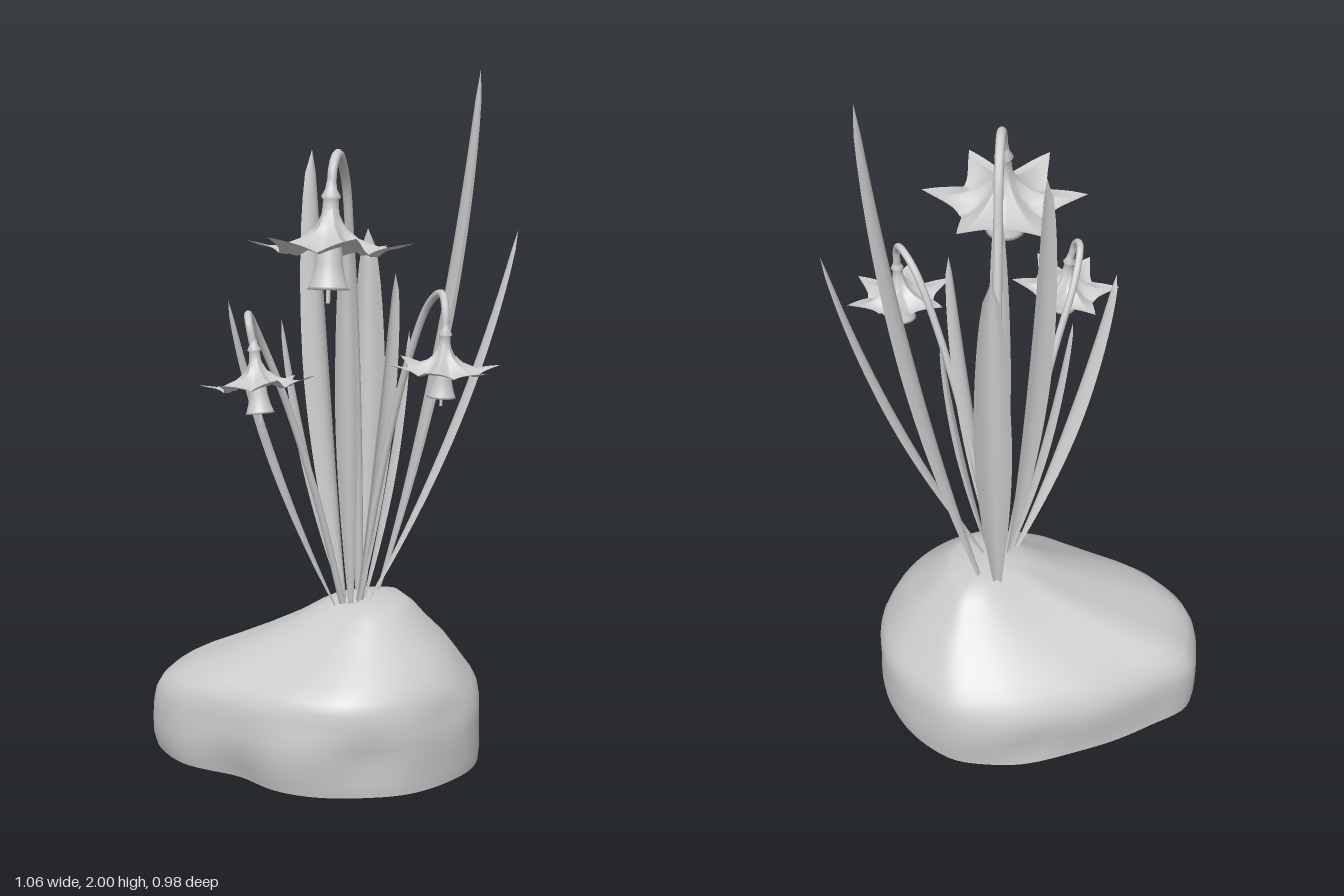
import * as THREE from 'three';

const solid = new THREE.MeshStandardMaterial({ color: 0xcccccc });
const thin = new THREE.MeshStandardMaterial({ color: 0xcccccc, side: THREE.DoubleSide });
const V = (x, y, z) => new THREE.Vector3(x, y, z);

// Surface through rows of points; closed joins the last column to the first
function skin(rows, closed) {
  const n = rows[0].length, index = [];
  for (let i = 0; i < rows.length - 1; i++) {
    for (let j = 0; j < (closed ? n : n - 1); j++) {
      const a = i * n + j, b = i * n + (j + 1) % n;
      index.push(a, a + n, b, a + n, b + n, b);
    }
  }
  const g = new THREE.BufferGeometry().setFromPoints(rows.flat());
  g.setIndex(index);
  g.computeVertexNormals();
  return g;
}

function add(parent, name, geometry, material = solid) {
  const mesh = new THREE.Mesh(geometry, material);
  mesh.name = name;
  parent.add(mesh);
  return mesh;
}

// Boulder: one plan outline fitted to the extents of each level
function makeRock() {
  const rock = new THREE.Group();
  rock.name = 'rock';
  const plan = [[-0.53, 0], [-0.53, -0.12], [-0.51, -0.21], [-0.39, -0.3], [-0.2, -0.41], [-0.04, -0.475],
    [0.08, -0.49], [0.2, -0.48], [0.3, -0.41], [0.4, -0.29], [0.445, -0.19], [0.455, -0.04], [0.41, 0.09],
    [0.32, 0.2], [0.2, 0.27], [0.07, 0.305], [-0.06, 0.29], [-0.18, 0.24], [-0.3, 0.195], [-0.4, 0.15], [-0.48, 0.08]];
  const outline = new THREE.CatmullRomCurve3(plan.map(([x, z]) => V(x, 0, z)), true).getSpacedPoints(96).slice(0, 96);
  // y, min x, max x, min z, max z
  const levels = [[0, -0.52, 0.45, -0.475, 0.29], [0.04, -0.528, 0.455, -0.478, 0.3], [0.09, -0.533, 0.458, -0.485, 0.305],
    [0.14, -0.53, 0.458, -0.488, 0.308], [0.18, -0.517, 0.455, -0.486, 0.308], [0.215, -0.495, 0.448, -0.474, 0.306],
    [0.245, -0.455, 0.436, -0.452, 0.3], [0.275, -0.4, 0.418, -0.423, 0.284], [0.31, -0.315, 0.393, -0.388, 0.242],
    [0.36, -0.2, 0.35, -0.338, 0.178], [0.41, -0.1, 0.295, -0.288, 0.115], [0.45, -0.035, 0.26, -0.252, 0.07],
    [0.472, 0.01, 0.228, -0.225, 0.03], [0.482, 0.06, 0.18, -0.18, -0.03], [0.484, 0.12, 0.12, -0.11, -0.11]];
  // Hollows: place round the outline, height, depth
  const hollows = [[0.7, 0.11, 0.04], [0.86, 0.02, 0.05], [0.27, 0.08, 0.035], [0.6, 0.2, 0.025], [0.78, 0.22, 0.02]];
  const rows = levels.map(([y, x0, x1, z0, z1]) => outline.map((p, j) => {
    const s = j / 96, a = s * Math.PI * 2;
    let scale = 1 - 0.008 + 0.012 * Math.sin(5 * a + y * 14) * Math.sin(3 * a - y * 21 + 1);
    for (const [hs, hy, depth] of hollows) scale -= depth * Math.exp(-(((s - hs) / 0.035) ** 2) - ((y - hy) / 0.05) ** 2);
    const x = x0 + (p.x + 0.53) / 0.985 * (x1 - x0);
    const z = z0 + (p.z + 0.49) / 0.795 * (z1 - z0);
    const cx = (x0 + x1) / 2, cz = (z0 + z1) / 2;
    return V(cx + (x - cx) * scale, y, cz + (z - cz) * scale);
  }));
  add(rock, 'boulder', skin(rows, true));
  add(rock, 'rockUnderside', skin([outline.map(() => V(-0.03, 0, -0.09)), rows[0]], true));
  return rock;
}

// Channelled blade, narrow at the base, widest past the middle, pointed at the tip
function makeLeaf(base, tip, width, bulge) {
  const lean = V(tip.x - base.x, 0, tip.z - base.z);
  const middle = base.clone().lerp(tip, 0.5).addScaledVector(lean, bulge);
  lean.normalize();
  const across = V(-lean.z, 0, lean.x);
  const curve = new THREE.QuadraticBezierCurve3(base, middle, tip);
  const rows = [];
  for (let i = 0; i <= 20; i++) {
    const t = i / 20;
    const half = width / 2 * (0.2 + 0.8 * Math.sin(Math.PI / 2 * Math.min(1, t / 0.55))) * Math.sqrt(1 - Math.pow(Math.max(0, (t - 0.5) / 0.5), 1.7));
    const row = [];
    for (let k = -3; k <= 3; k++) {
      const u = k / 3;
      row.push(curve.getPoint(t).addScaledVector(across, u * half).addScaledVector(lean, half * 0.7 * (u * u - 0.45)));
    }
    rows.push(row);
  }
  return skin(rows, false);
}

// Six-pointed nodding flower hanging below its neck
function makeFlower(phase) {
  const flower = new THREE.Group();
  const profile = [[0.12, 0, 0], [0.15, -0.04, 0], [0.23, -0.075, 0.3], [0.38, -0.103, 0.65], [0.6, -0.123, 0.85], [0.82, -0.126, 0.96], [1, -0.112, 1]];
  const rows = profile.map(([f, y, star]) => {
    const row = [];
    for (let j = 0; j < 96; j++) {
      const off = Math.abs(((j + 8) % 16) - 8) / 8;
      const edge = 0.14 + 0.092 * Math.pow(1 - off, 2.2);
      const r = f * (0.16 + (edge - 0.16) * star), a = j / 96 * Math.PI * 2 + phase;
      row.push(V(r * Math.cos(a), y - 0.035 * f * f * off, r * Math.sin(a)));
    }
    return row;
  });
  add(flower, 'petals', skin(rows, true), thin);
  const lathe = pts => new THREE.LatheGeometry(pts.map(p => new THREE.Vector2(...p)), 24);
  add(flower, 'trumpet', lathe([[0.026, -0.08], [0.033, -0.13], [0.036, -0.17], [0.042, -0.2], [0.052, -0.232], [0.057, -0.24], [0.046, -0.236], [0.036, -0.2], [0.028, -0.12]]), thin);
  add(flower, 'neck', lathe([[0.013, 0.045], [0.016, 0.025], [0.027, 0.005], [0.021, -0.002], [0.022, -0.02], [0.024, -0.045]]), thin);
  add(flower, 'pistil', new THREE.CylinderGeometry(0.006, 0.006, 0.2, 8)).position.y = -0.175;
  return flower;
}

export function createModel() {
  const model = new THREE.Group();
  model.name = 'floweringBulbOnRock';
  model.add(makeRock());

  // Leaves: base, tip, width, outward bulge
  const leaves = [
    [V(0.08, 0.46, -0.18), V(0.08, 1.55, -0.25), 0.105, 0.75],
    [V(0.13, 0.46, -0.16), V(0.415, 2, -0.17), 0.1, 0.28],
    [V(0.12, 0.46, -0.06), V(0.53, 1.56, -0.165), 0.065, 0.2],
    [V(0.06, 0.46, -0.05), V(-0.055, 1.78, -0.115), 0.105, 0.45],
    [V(0.04, 0.46, -0.02), V(-0.24, 1.37, 0.11), 0.07, 0.2],
    [V(0.1, 0.46, -0.03), V(0.22, 1.45, 0.04), 0.065, 0.25],
    [V(0.11, 0.46, -0.06), V(0.23, 1.27, -0.12), 0.05, 0.25],
    [V(0.085, 0.46, -0.02), V(0.085, 1.6, 0.065), 0.065, 0.35],
    [V(0.06, 0.46, -0.05), V(-0.125, 1.3, -0.035), 0.06, 0.2],
  ];
  leaves.forEach(([base, tip, width, bulge], i) => add(model, 'leaf' + (i + 1), makeLeaf(base, tip, width, bulge), thin));

  // Arching stems, each ending at a flower neck
  const blooms = [
    { size: 1, phase: 0, tilt: [-0.12, 0], radius: 0.013,
      path: [[0.08, 0.46, -0.15], [0.08, 0.9, -0.125], [0.08, 1.3, -0.07], [0.08, 1.55, -0.005], [0.08, 1.7, 0.045], [0.08, 1.775, 0.13], [0.08, 1.745, 0.195], [0.08, 1.66, 0.22]] },
    { size: 0.69, phase: -0.09, tilt: [-0.1, 0.12], radius: 0.0105,
      path: [[0.06, 0.46, -0.03], [0, 0.8, 0.05], [-0.07, 1.1, 0.135], [-0.12, 1.28, 0.21], [-0.132, 1.355, 0.28], [-0.118, 1.34, 0.325], [-0.1, 1.265, 0.337]] },
    { size: 0.69, phase: 0.58, tilt: [0, -0.05], radius: 0.0105,
      path: [[0.1, 0.46, -0.05], [0.16, 0.8, -0.01], [0.25, 1.18, 0.04], [0.32, 1.37, 0.09], [0.365, 1.41, 0.145], [0.385, 1.375, 0.195], [0.388, 1.305, 0.208]] },
  ];
  blooms.forEach(({ size, phase, tilt, radius, path }, i) => {
    const curve = new THREE.CatmullRomCurve3(path.map(p => V(...p)));
    add(model, 'stem' + (i + 1), new THREE.TubeGeometry(curve, 60, radius, 10));
    const flower = makeFlower(phase);
    flower.name = 'flower' + (i + 1);
    flower.scale.setScalar(size);
    flower.position.set(...path[path.length - 1]);
    flower.rotation.set(tilt[0], 0, tilt[1]);
    model.add(flower);
  });
  return model;
}
